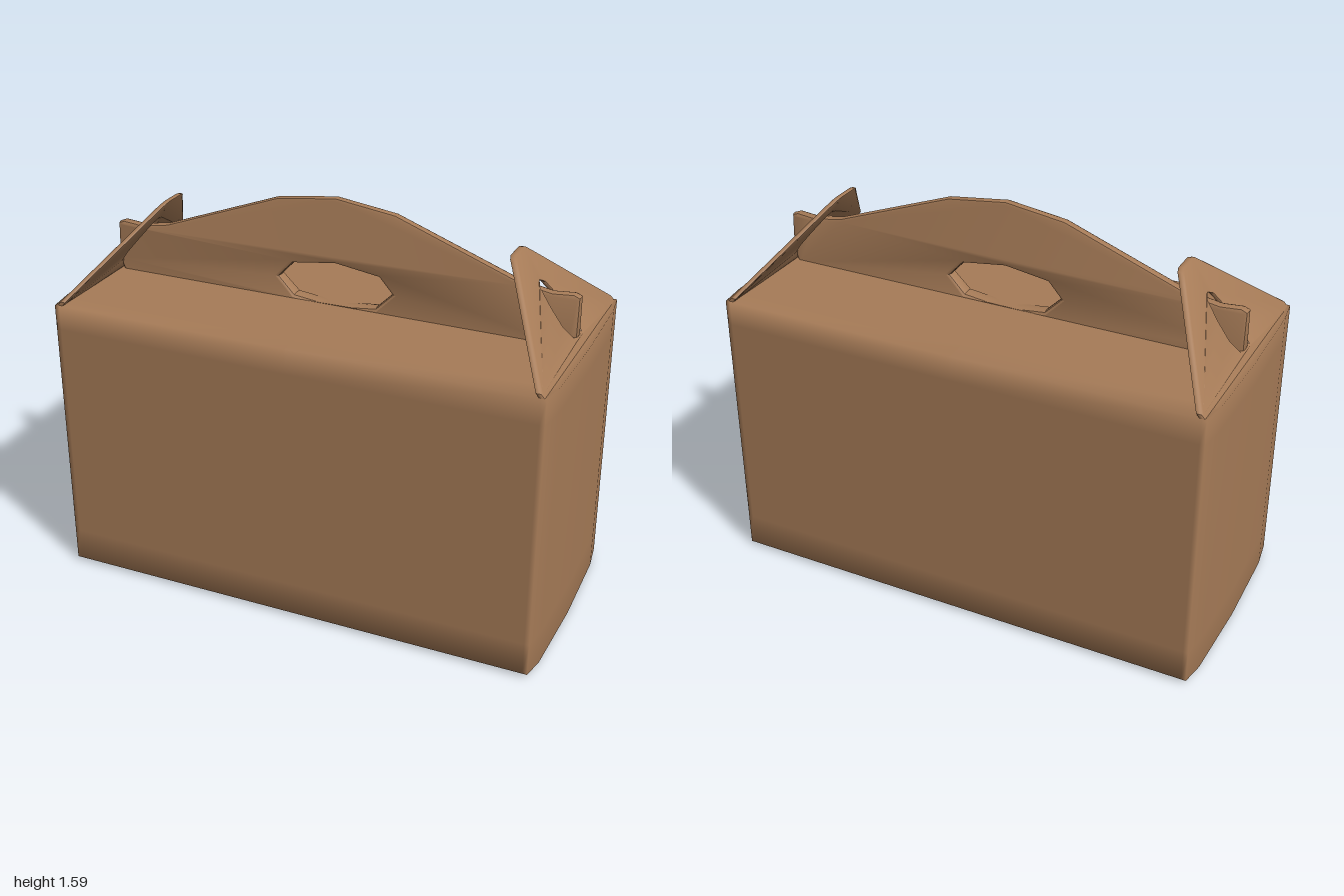
import * as THREE from 'three';
import { mergeVertices, toCreasedNormals } from 'three/addons/utils/BufferGeometryUtils.js';

const cardboard = new THREE.MeshStandardMaterial({ color: 0xa67b57 });
cardboard.name = 'cardboard';

// Mirror a half outline (given from one end to the other at u >= 0) across u = 0.
const mirrored = half => [
  ...half,
  ...half.filter(p => p[0] > 0).reverse().map(([u, v]) => [-u, v]),
].map(([u, v]) => new THREE.Vector2(u, v));

// Thin bevelled panel with one hole, centred on its own thickness.
function panel(outline, hole, thickness, bevel) {
  const shape = new THREE.Shape(mirrored(outline));
  shape.holes.push(new THREE.Path(mirrored(hole)));
  const geo = new THREE.ExtrudeGeometry(shape, {
    depth: thickness - 2 * bevel, bevelEnabled: true, bevelThickness: bevel,
    bevelSize: bevel, bevelOffset: -bevel, bevelSegments: 2,
  });
  return geo.translate(0, 0, bevel - thickness / 2);
}

function bendVertices(geo, rule) {
  const pos = geo.attributes.position;
  const v = new THREE.Vector3();
  for (let i = 0; i < pos.count; i++) {
    rule(v.fromBufferAttribute(pos, i));
    pos.setXYZ(i, v.x, v.y, v.z);
  }
  return geo;
}

// Box with edge loops near its soft edges, slightly bulged ends and bottom
function bodyGeometry() {
  const xs = [-1, -0.98, 0, 0.98, 1];
  const ys = [0, 0.15, 1.06, 1.16];
  const zs = [-0.467, -0.36, 0, 0.36, 0.467];
  let geo = new THREE.BoxGeometry(4, 3, 4, 4, 3, 4);
  geo.deleteAttribute('normal');
  geo.deleteAttribute('uv');
  geo = mergeVertices(geo);
  bendVertices(geo, v => {
    const [i, j, k] = [Math.round(v.x + 2), Math.round(v.y + 1.5), Math.round(v.z + 2)];
    const bulge = (zs[k] / 0.467) ** 4;
    v.set(xs[i] * (1 - 0.022 * bulge), ys[j] + (j === 0 ? 0.016 * bulge : 0), zs[k]);
  });
  geo.computeVertexNormals();
  return geo;
}

// Upright handle, thicker at the foot, with an eight-sided grip hole
function handleGeometry() {
  const outline = [
    [0.93, 1.14], [0.955, 1.2], [0.955, 1.35], [0.93, 1.36], [0.85, 1.353],
    [0.73, 1.373], [0.24, 1.555], [0, 1.587],
  ];
  const hole = [[0, 1.155], [0.17, 1.175], [0.235, 1.24], [0.18, 1.3], [0, 1.325]];
  const geo = panel(outline, hole, 0.036, 0.012);
  bendVertices(geo, v => { v.z *= 1 + 0.8 * Math.max(0, (1.4 - v.y) / 0.25); });
  return toCreasedNormals(geo, 0.6);
}

// Gabled end flap leaning inwards, with a slot for the handle's tab
function flapGeometry() {
  const outline = [[0.462, 1.15], [0.462, 1.175], [0.1, 1.455], [0.07, 1.478], [0.045, 1.486]];
  const slot = [[0.04, 1.2], [0.062, 1.25], [0.052, 1.31], [0.03, 1.372], [0, 1.387]];
  const geo = panel(outline, slot, 0.024, 0.007);
  bendVertices(geo, v => {
    const lean = 0.975 - (v.y - 1.16) * 0.83 - 0.018 * (v.x / 0.467) ** 2;
    v.set(lean + v.z, v.y, -v.x);
  });
  return toCreasedNormals(geo, 0.6);
}

export function createModel() {
  const model = new THREE.Group();
  model.name = 'gableBox';
  const add = (name, geo) => {
    const mesh = new THREE.Mesh(geo, cardboard);
    mesh.name = name;
    model.add(mesh);
    return mesh;
  };
  add('body', bodyGeometry());
  add('handle', handleGeometry());
  const flap = flapGeometry();
  add('leftFlap', flap);
  add('rightFlap', flap).rotation.y = Math.PI;
  return model;
}
